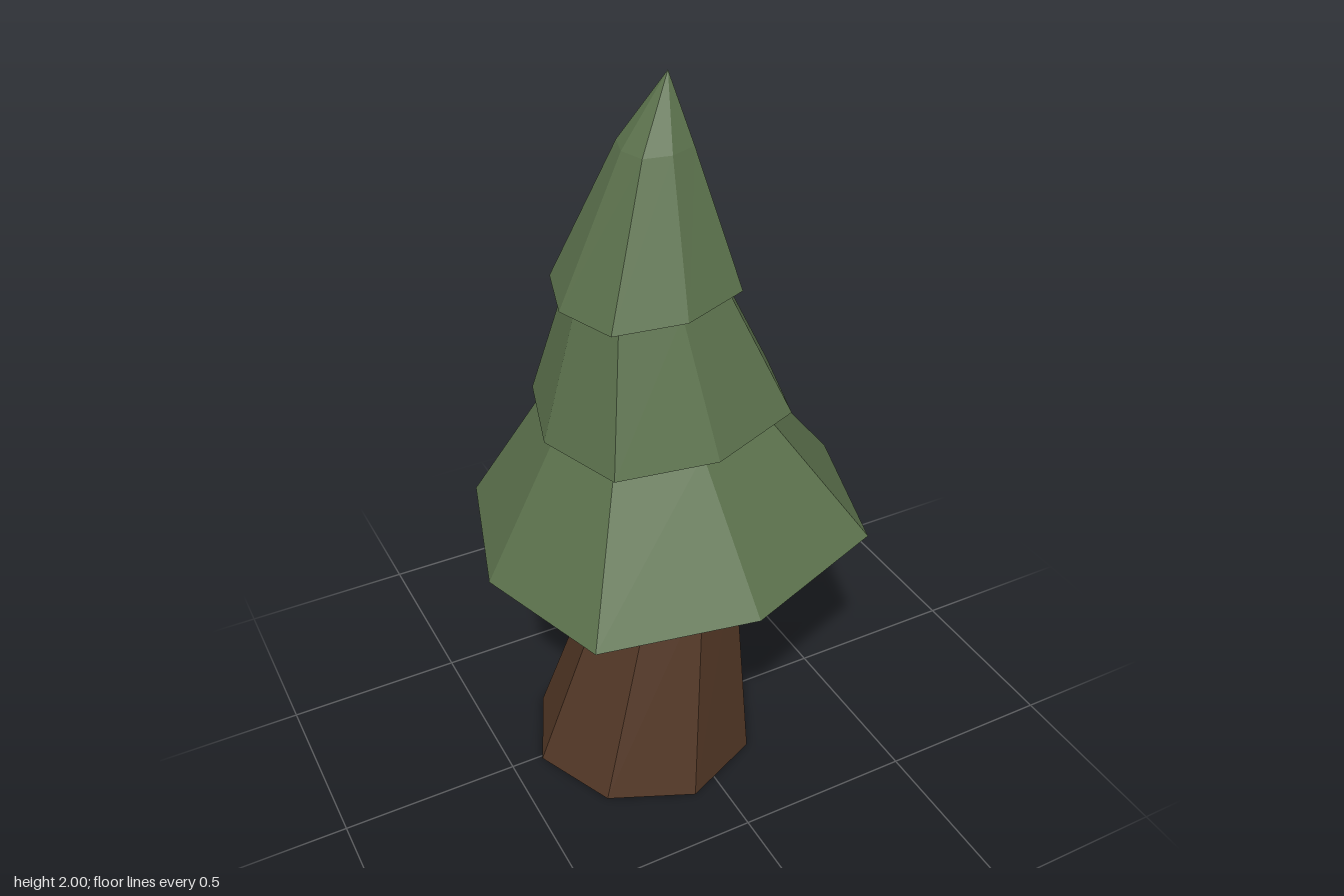
import * as THREE from 'three';

const SIDES = 8;

// Ring: [centre x, centre y, centre z, radius, slope along x]
// Corners lie on the axes; diagonal corners are pushed out by `bulge`.
function ringPoint([cx, cy, cz, r, slope], i, bulge) {
  const k = i % SIDES;
  const a = (k / SIDES) * Math.PI * 2;
  const rr = k % 2 ? r * bulge : r;
  const dx = Math.cos(a) * rr;
  return [cx + dx, cy + dx * slope, cz + Math.sin(a) * rr];
}

// Skin a list of rings; a ring of radius 0 closes the shape to a point
function loft(name, rings, bulge, material) {
  const pos = [];
  for (let j = 0; j < rings.length - 1; j++) {
    const lo = rings[j], hi = rings[j + 1];
    for (let i = 0; i < SIDES; i++) {
      const a = ringPoint(lo, i, bulge), b = ringPoint(lo, i + 1, bulge);
      const c = ringPoint(hi, i + 1, bulge), d = ringPoint(hi, i, bulge);
      if (lo[3] > 0) pos.push(...b, ...a, ...d);
      if (hi[3] > 0) pos.push(...b, ...d, ...c);
    }
  }
  const geo = new THREE.BufferGeometry();
  geo.setAttribute('position', new THREE.Float32BufferAttribute(pos, 3));
  geo.computeVertexNormals(); // unshared corners give flat facets
  const mesh = new THREE.Mesh(geo, material);
  mesh.name = name;
  return mesh;
}

export function createModel() {
  const group = new THREE.Group();
  group.name = 'pineTree';

  const bark = new THREE.MeshStandardMaterial({ color: 0x513625 });
  bark.name = 'barkBrown';
  const needles = new THREE.MeshStandardMaterial({ color: 0x5b714c });
  needles.name = 'needleGreen';

  // Leaning trunk with a bend near the top
  group.add(loft('trunk', [
    [-0.08, 0, 0.01, 0, 0],
    [-0.08, 0, 0.01, 0.33, 0],
    [0.015, 0.62, 0.005, 0.19, 0.16],
    [-0.01, 0.82, -0.005, 0.163, 0.105],
  ], 0.98, bark));

  // Three tilted foliage tiers, each starting at the neck of the one below
  const tilt = 0.106, bulge = 1.085;
  const lowerNeck = [-0.035, 1.115, -0.01, 0.28, tilt];
  const middleNeck = [-0.048, 1.467, -0.012, 0.193, tilt];

  group.add(loft('lowerFoliage', [
    [-0.003, 0.755, 0, 0, tilt],
    [-0.003, 0.755, 0, 0.521, tilt],
    lowerNeck,
  ], bulge, needles));

  group.add(loft('middleFoliage', [
    lowerNeck,
    [-0.013, 1.115, -0.012, 0.329, tilt],
    middleNeck,
  ], bulge, needles));

  group.add(loft('topFoliage', [
    middleNeck,
    [-0.052, 1.467, -0.012, 0.233, 0.098],
    [-0.02, 1.83, -0.013, 0.09, 0.05],
    [0.015, 2.0, -0.015, 0, 0],
  ], bulge, needles));

  return group;
}
